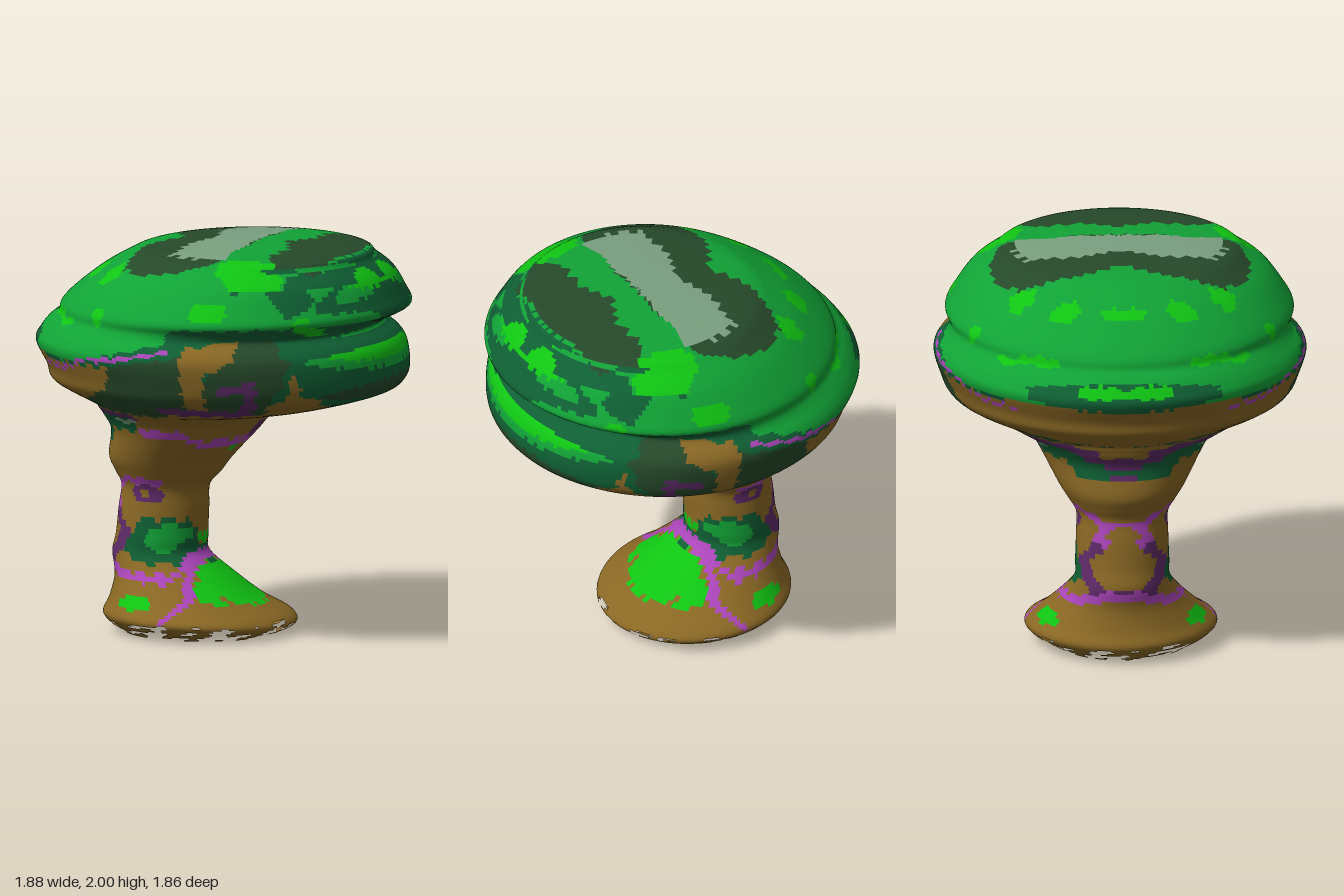
import * as THREE from 'three';

const names = ['bark', 'green', 'deepGreen', 'brightGreen', 'mossShadow', 'paleTop', 'violet', 'darkViolet'];
const hexes = [0x8a6824, 0x11a336, 0x0f5f34, 0x10c513, 0x26492a, 0x7a9f80, 0xab45ba, 0x5e2a68];
const [BARK, GREEN, DEEP, BRIGHT, MOSS, PALE, VIOLET, PLUM] = names.map((_, i) => i);

// Paint shapes: each tests a point on its projection plane
const poly = (c, ...p) => ({ c, hit(u, v) {
  let inside = false;
  for (let i = 0, j = p.length - 2; i < p.length; j = i, i += 2)
    if ((p[i + 1] > v) !== (p[j + 1] > v) &&
      u < (p[j] - p[i]) * (v - p[i + 1]) / (p[j + 1] - p[i + 1]) + p[i]) inside = !inside;
  return inside;
} });
const spot = (c, x, y, rx, ry) => ({ c, hit: (u, v) => ((u - x) / rx) ** 2 + ((v - y) / ry) ** 2 < 1 });
const line = (c, w, ...p) => ({ c, hit(u, v) {
  for (let i = 0; i + 3 < p.length; i += 2) {
    const dx = p[i + 2] - p[i], dy = p[i + 3] - p[i + 1];
    const t = THREE.MathUtils.clamp(((u - p[i]) * dx + (v - p[i + 1]) * dy) / (dx * dx + dy * dy), 0, 1);
    if (Math.hypot(u - p[i] - t * dx, v - p[i + 1] - t * dy) < w) return true;
  }
  return false;
} });

// Front and back of the cap, in x and y
const capPaint = [
  poly(DEEP, -1, 1.43, -0.27, 1.45, 0.3, 1.4, 0.55, 1.18, 1, 1.2, 1, 2.1, -1, 2.1),
  poly(GREEN, -1, 1.48, -0.55, 1.45, -0.2, 1.53, 0.02, 1.59, 0.06, 1.66, 0.6, 1.67, 1, 1.78, 0.75, 1.83, 0.5, 2.1, -1, 2.1),
  line(DEEP, 0.06, 0.3, 1.9, 0.5, 1.92, 0.63, 1.78),
  poly(MOSS, -0.27, 1.46, 0.13, 1.53, 0.13, 1.25, -0.1, 1.17, -0.64, 1.17, -0.3, 1.34),
  poly(MOSS, 0.13, 1.24, 0.39, 1.6, 0.5, 1.61, 0.62, 1.5, 0.6, 1.38, 0.45, 1.2),
  poly(BARK, 0.13, 1.57, 0.38, 1.61, 0.38, 1.51, 0.25, 1.45, 0.23, 1.24, 0.13, 1.24),
  poly(BARK, 0.5, 1.17, 0.5, 1.26, 0.76, 1.43, 0.7, 1.2),
  line(VIOLET, 0.01, -0.8, 1.41, -0.6, 1.41, -0.4, 1.48, -0.2, 1.5, 0.04, 1.55),
  line(PLUM, 0.025, -0.02, 1.23, 0.36, 1.22, 0.45, 1.29, 0.46, 1.39, 0.33, 1.36),
  spot(BRIGHT, 0.3, 1.91, 0.1, 0.06), spot(BRIGHT, -0.12, 1.91, 0.08, 0.03),
  spot(BRIGHT, 0.24, 1.75, 0.1, 0.045), spot(BRIGHT, -0.38, 1.68, 0.035, 0.04),
  spot(BRIGHT, -0.62, 1.63, 0.06, 0.025), spot(BRIGHT, 0.68, 1.66, 0.05, 0.05),
];
// Front and back of the stem and roots, in x and y
const stemPaint = [
  line(PLUM, 0.03, -0.58, 1.0, -0.58, 1.13, -0.3, 1.15),
  line(DEEP, 0.04, -0.54, 1.0, -0.52, 1.09, -0.34, 1.09),
  spot(PALE, -0.36, 1.105, 0.07, 0.015),
  line(VIOLET, 0.022, -0.28, 1.05, -0.1, 1.04, 0, 0.99, 0.14, 0.98),
  poly(DEEP, -0.47, 0.42, -0.36, 0.59, -0.1, 0.57, -0.1, 0.36, -0.36, 0.36),
  spot(GREEN, -0.23, 0.48, 0.11, 0.07),
  spot(PLUM, -0.33, 0.71, 0.085, 0.05), spot(BARK, -0.34, 0.71, 0.025, 0.02),
  line(VIOLET, 0.018, -0.26, 0.77, -0.45, 0.78, -0.52, 0.72, -0.52, 0.6),
  line(PLUM, 0.03, -0.51, 0.58, -0.45, 0.5, -0.56, 0.36),
  line(VIOLET, 0.02, -0.6, 0.36, -0.45, 0.3, -0.2, 0.29, -0.12, 0.36, -0.06, 0.2, -0.15, 0.11),
  spot(BRIGHT, -0.34, 0.18, 0.1, 0.035), spot(BRIGHT, 0.1, 0.26, 0.16, 0.09),
];
// Paint facing +x, in |z| and y
const rightPaint = [
  poly(DEEP, -1, 1.2, 0.6, 1.27, 0.65, 1.42, 1, 1.5, 1, 2, -1, 2),
  spot(GREEN, 0.4, 1.87, 0.32, 0.1), spot(GREEN, 0.52, 1.68, 0.34, 0.05),
  spot(DEEP, 0.48, 1.84, 0.08, 0.1),
  spot(BRIGHT, 0.15, 1.87, 0.18, 0.05), spot(BRIGHT, 0.63, 1.89, 0.09, 0.07),
  spot(GREEN, 0, 1.51, 0.62, 0.09), spot(BRIGHT, 0, 1.52, 0.49, 0.06),
  spot(MOSS, 0, 1.27, 0.6, 0.09),
  line(PLUM, 0.025, 0.55, 1.2, 0.7, 1.25, 0.84, 1.4),
  line(VIOLET, 0.02, 0, 1.0, 0.25, 0.98, 0.42, 1.02), spot(PLUM, 0, 1.06, 0.05, 0.07),
  spot(BRIGHT, 0.09, 0.955, 0.04, 0.015),
  spot(DEEP, 0.17, 0.46, 0.11, 0.12), spot(DEEP, 0, 0.4, 0.1, 0.05),
  spot(GREEN, 0.17, 0.5, 0.07, 0.04), spot(BRIGHT, 0, 0.475, 0.07, 0.025),
  line(VIOLET, 0.025, 0, 0.4, 0.15, 0.37, 0.3, 0.2),
  spot(BRIGHT, 0, 0.255, 0.24, 0.1),
];
// Paint facing -x, in |z| and y
const leftPaint = [
  spot(DEEP, 0, 1.52, 0.5, 0.08), spot(BRIGHT, 0.12, 1.54, 0.13, 0.03),
  spot(BRIGHT, 0.42, 1.64, 0.1, 0.03), spot(BRIGHT, 0.05, 1.74, 0.1, 0.03),
];
// Paint facing up, in x and |z|
const topPaint = [
  line(DEEP, 0.07, 0.62, 0.55, 0.75, 0.35, 0.8, 0),
  spot(BRIGHT, 0.38, 0.6, 0.17, 0.12),
  poly(MOSS, -0.24, -0.1, -0.24, 0, -0.34, 0.25, -0.34, 0.5, -0.22, 0.62, 0, 0.66, 0.19, 0.58, 0.21, -0.1),
  poly(PALE, -0.04, -0.1, -0.04, 0, -0.1, 0.2, -0.1, 0.47, 0, 0.52, 0.2, 0.53, 0.19, -0.1),
  poly(MOSS, 0.34, -0.1, 0.34, 0, 0.42, 0.22, 0.38, 0.4, 0.5, 0.53, 0.66, 0.4, 0.71, -0.1),
  spot(BRIGHT, -0.55, 0.29, 0.05, 0.08), spot(BRIGHT, -0.4, 0.5, 0.06, 0.07),
  spot(BRIGHT, -0.6, 0.05, 0.03, 0.06), spot(BRIGHT, 0.82, 0.13, 0.05, 0.1),
];

function paintOf(p, n) {
  const z = Math.abs(p.z);
  let list = p.y > 1.16 ? capPaint : stemPaint, u = p.x, v = p.y, c = BARK;
  if (n.y > 0.72 && p.y > 1.8) { list = topPaint; v = z; c = GREEN; }
  else if (n.x > 0.68 || (n.x > 0.5 && p.y < 0.4)) { list = rightPaint; u = z; }
  else if (n.x < -0.72 && p.y > 1.4) { list = leftPaint; u = z; c = p.y > 1.46 ? GREEN : BARK; }
  // Small wobble for organic borders
  u += 0.008 * Math.sin(v * 70 + z * 30);
  v += 0.007 * Math.sin(u * 60 + z * 25);
  for (const s of list) if (s.hit(u, v)) c = s.c;
  return c;
}

// Cross-sections: height, lowest x, highest x, half depth
const sections = [
  [0, -0.52, 0.25, 0.36], [0.05, -0.59, 0.35, 0.45], [0.1, -0.62, 0.32, 0.48], [0.17, -0.59, 0.18, 0.41],
  [0.28, -0.57, 0.03, 0.31], [0.39, -0.59, -0.1, 0.24], [0.48, -0.57, -0.11, 0.235], [0.62, -0.555, -0.105, 0.23],
  [0.73, -0.54, -0.1, 0.23], [0.8, -0.57, -0.04, 0.27], [0.88, -0.6, 0.02, 0.32], [1.02, -0.58, 0.15, 0.4],
  [1.1, -0.62, 0.22, 0.45], [1.14, -0.635, 0.3, 0.53], [1.18, -0.66, 0.57, 0.65], [1.25, -0.79, 0.83, 0.81],
  [1.3, -0.87, 0.905, 0.87], [1.37, -0.89, 0.925, 0.9], [1.48, -0.945, 0.905, 0.93], [1.54, -0.92, 0.86, 0.91],
  [1.59, -0.88, 0.79, 0.86], [1.63, -0.83, 0.84, 0.85], [1.68, -0.81, 0.935, 0.87], [1.75, -0.74, 0.91, 0.83],
  [1.85, -0.61, 0.85, 0.75], [1.92, -0.49, 0.765, 0.65], [1.965, -0.38, 0.71, 0.56], [1.99, -0.13, 0.42, 0.31],
  [2, 0.05, 0.22, 0.09], [2, 0.135, 0.135, 0],
];

export function createModel() {
  const group = new THREE.Group();
  const materials = names.map((name, i) => {
    const m = new THREE.MeshStandardMaterial({ color: hexes[i], side: THREE.DoubleSide });
    m.name = name;
    return m;
  });
  const SEG = 240, STEP = 5, ROWS = (sections.length - 1) * STEP;
  const sides = new THREE.CatmullRomCurve3(sections.map((s) => new THREE.Vector3(s[1], s[0], s[2])), false, 'catmullrom', 0.5);
  const depth = new THREE.SplineCurve(sections.map((s, i) => new THREE.Vector2(i, s[3])));
  const pos = [], index = [];
  for (let r = 0; r <= ROWS; r++) {
    const q = sides.getPoint(r / ROWS), d = depth.getPoint(r / ROWS).y;
    for (let s = 0; s < SEG; s++) {
      const a = s / SEG * Math.PI * 2;
      pos.push((q.x + q.z) / 2 + (q.z - q.x) / 2 * Math.cos(a), THREE.MathUtils.clamp(q.y, 0, 2), d * Math.sin(a));
    }
  }
  for (let r = 0; r < ROWS; r++) for (let s = 0; s < SEG; s++) {
    const a = r * SEG + s, b = r * SEG + (s + 1) % SEG;
    index.push(a, a + SEG, b, b, a + SEG, b + SEG);
  }
  const whole = new THREE.BufferGeometry();
  whole.setAttribute('position', new THREE.Float32BufferAttribute(pos, 3));
  whole.setIndex(index);
  whole.computeVertexNormals();

  // Parts share one smooth surface, each with its own painted faces
  const P = whole.attributes.position, N = whole.attributes.normal;
  const p = new THREE.Vector3(), n = new THREE.Vector3(), t = new THREE.Vector3();
  for (const [name, from, to] of [['roots', 0, 5 * STEP], ['stem', 5 * STEP, 13 * STEP], ['cap', 13 * STEP, ROWS]]) {
    const faces = names.map(() => []);
    for (let r = from; r < to; r++) for (let s = 0; s < SEG; s++) {
      const k = (r * SEG + s) * 6;
      p.fromBufferAttribute(P, index[k + 1]).add(t.fromBufferAttribute(P, index[k + 2])).multiplyScalar(0.5);
      n.fromBufferAttribute(N, index[k + 1]);
      // Ragged lower rim
      const rag = Math.sin(s * 0.21) + Math.sin(s * 0.47 + r * 0.6) + Math.sin(s * 0.13 + r * 1.7);
      if (p.y < 0.085 && rag > p.y * 22 - 0.7) continue;
      faces[paintOf(p, n)].push(...index.slice(k, k + 6));
    }
    const geo = new THREE.BufferGeometry();
    geo.setAttribute('position', P);
    geo.setAttribute('normal', N);
    geo.setIndex(faces.flat());
    let start = 0;
    faces.forEach((f, i) => {
      if (f.length) geo.addGroup(start, f.length, i);
      start += f.length;
    });
    const mesh = new THREE.Mesh(geo, materials);
    mesh.name = name;
    group.add(mesh);
  }
  return group;
}
